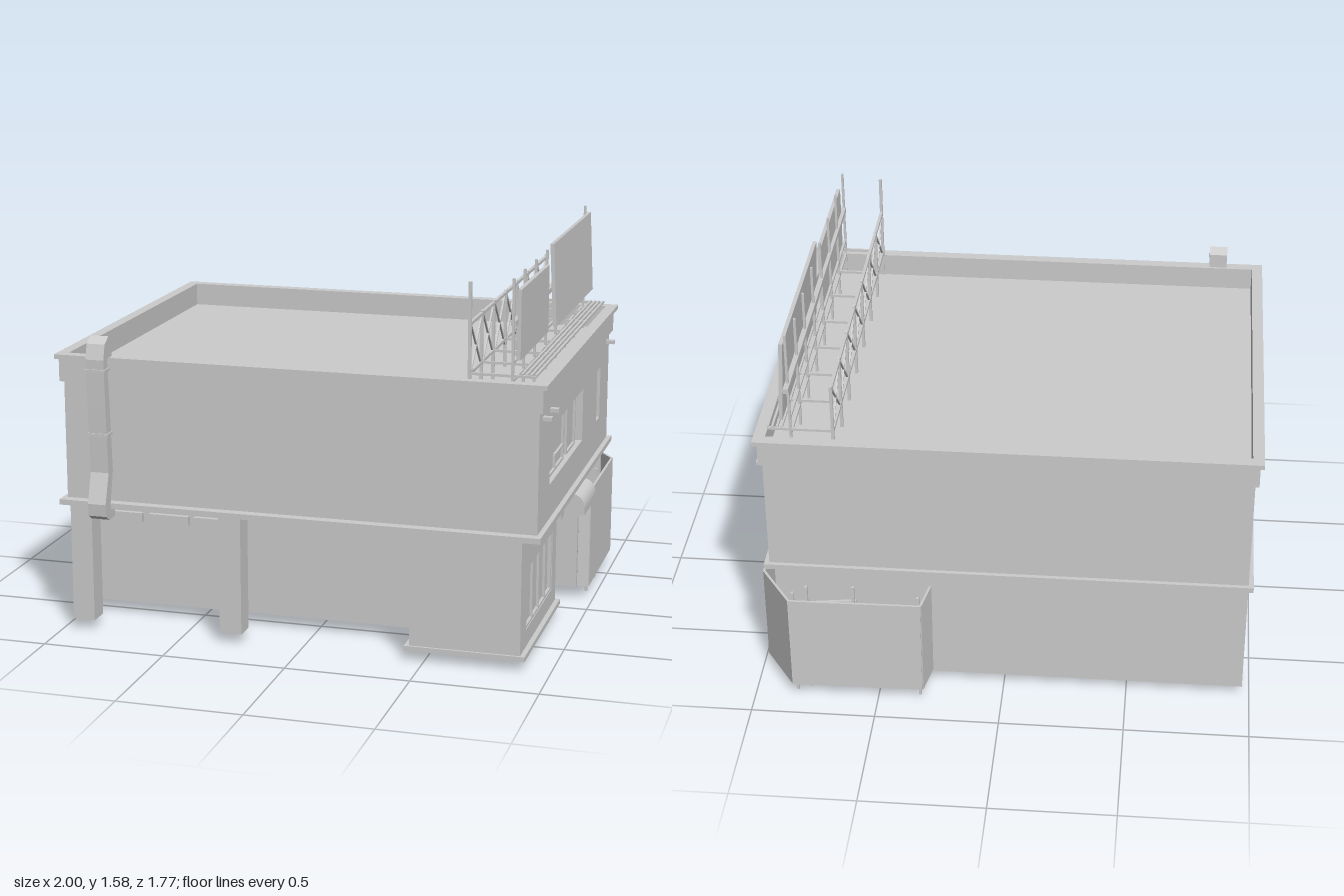
import * as THREE from 'three';

const mat = new THREE.MeshStandardMaterial({ color: 0xcccccc, flatShading: true, side: THREE.DoubleSide });

export function createModel() {
  const root = new THREE.Group();

  const add = (parent, name, geo) => {
    const m = new THREE.Mesh(geo, mat);
    m.name = name;
    parent.add(m);
    return m;
  };
  const group = (name) => {
    const g = new THREE.Group();
    g.name = name;
    root.add(g);
    return g;
  };
  // Box given by its limits on each axis
  const box = (parent, name, x0, x1, y0, y1, z0, z1) => {
    const m = add(parent, name, new THREE.BoxGeometry(x1 - x0, y1 - y0, z1 - z0));
    m.position.set((x0 + x1) / 2, (y0 + y1) / 2, (z0 + z1) / 2);
    return m;
  };
  // Square bar between two points
  const bar = (parent, name, a, b, w = 0.01) => {
    const p = new THREE.Vector3(...a), q = new THREE.Vector3(...b);
    const m = add(parent, name, new THREE.BoxGeometry(w, w, p.distanceTo(q)));
    m.position.copy(p).add(q).multiplyScalar(0.5);
    m.lookAt(q);
  };
  const rect = (C, x0, x1, y0, y1) => new C().setFromPoints(
    [[x0, y0], [x1, y0], [x1, y1], [x0, y1], [x0, y0]].map(p => new THREE.Vector2(...p)));
  // Horizontal ring: outer and inner limits in x and z
  const ring = (parent, name, o, i, y0, y1) => {
    const s = rect(THREE.Shape, o[0], o[1], -o[3], -o[2]);
    s.holes.push(rect(THREE.Path, i[0], i[1], -i[3], -i[2]));
    const g = new THREE.ExtrudeGeometry(s, { depth: y1 - y0, bevelEnabled: false });
    add(parent, name, g.rotateX(-Math.PI / 2).translate(0, y0, 0));
  };
  // Side wall in the zy plane with openings [z0, z1, y0, y1]
  const sideWall = (parent, name, x0, x1, lim, openings) => {
    const s = rect(THREE.Shape, -lim[1], -lim[0], lim[2], lim[3]);
    openings.forEach(o => s.holes.push(rect(THREE.Path, -o[1], -o[0], o[2], o[3])));
    const g = new THREE.ExtrudeGeometry(s, { depth: x1 - x0, bevelEnabled: false });
    add(parent, name, g.rotateY(Math.PI / 2).translate(x0, 0, 0));
  };
  // Frame bars around a window that faces along x
  const sideFrame = (parent, x, z0, z1, y0, y1, panes) => {
    for (let i = 0; i <= panes; i++) {
      const z = z0 + (z1 - z0) * i / panes;
      bar(parent, 'windowMullion', [x, y0, z], [x, y1, z]);
    }
    for (const y of [y0, y1]) bar(parent, 'windowRail', [x, y, z0], [x, y, z1]);
  };

  // Upper storey with recessed windows
  const upper = group('upperStorey');
  box(upper, 'frontWall', -0.97, 0.94, 0.53, 1.04, 0.75, 0.79);
  box(upper, 'backWall', -0.97, 0.94, 0.53, 1.04, -0.74, -0.7);
  box(upper, 'ceiling', -0.95, 0.92, 0.52, 0.54, -0.72, 0.77);
  sideWall(upper, 'rightWall', 0.9, 0.94, [-0.7, 0.75, 0.53, 1.04],
    [[-0.13, 0.57, 0.69, 0.91], [-0.54, -0.46, 0.69, 0.91]]);
  sideWall(upper, 'leftWall', -0.97, -0.93, [-0.7, 0.75, 0.53, 1.04], [[-0.55, 0.1, 0.69, 0.91]]);
  box(upper, 'windowBacking', 0.89, 0.905, 0.68, 0.92, -0.56, 0.58);
  box(upper, 'windowBacking', -0.935, -0.92, 0.68, 0.92, -0.57, 0.12);
  sideFrame(upper, 0.915, 0.18, 0.53, 0.695, 0.905, 1);
  sideFrame(upper, 0.915, 0.18, 0.35, 0.695, 0.75, 1);
  sideFrame(upper, 0.915, -0.07, 0.11, 0.695, 0.905, 1);
  sideFrame(upper, -0.945, -0.53, 0.08, 0.695, 0.905, 6);
  for (const z of [0.72, 0.58, -0.68]) box(upper, 'wallLamp', 0.94, 0.975, 0.985, 1.0, z - 0.013, z + 0.013);

  // Roof, cornice and ledge
  const roof = group('roof');
  box(roof, 'roofDeck', -0.96, 0.93, 1.03, 1.045, -0.73, 0.78);
  ring(roof, 'cornice', [-0.985, 0.955, -0.752, 0.803], [-0.955, 0.925, -0.72, 0.77], 1.03, 1.125);
  ring(roof, 'parapetRim', [-1, 0.972, -0.768, 0.815], [-0.955, 0.925, -0.72, 0.77], 1.122, 1.14);
  ring(roof, 'ledge', [-0.99, 0.96, -0.757, 0.83], [-0.93, 0.9, -0.7, 0.75], 0.53, 0.552);

  // Lower storey: back wall, corner block and pillars
  const lower = group('lowerStorey');
  box(lower, 'backWall', -0.97, 0.92, 0.04, 0.53, -0.74, -0.71);
  box(lower, 'cornerBlock', -0.97, -0.88, 0.04, 0.53, -0.74, -0.63);
  box(lower, 'passageWall', 0.3, 0.93, 0.05, 0.47, -0.16, -0.13);
  for (const [x, z] of [[-0.96, 0.7], [-0.335, 0.7], [-0.96, -0.36]])
    box(lower, 'pillar', x, x + 0.09, 0.04, 0.53, z, z + 0.09);
  box(lower, 'lowSlab', -0.18, 0.35, 0.02, 0.045, -0.55, -0.28);

  // Recessed shop with rear windows and a rear shutter
  const shop = group('shop');
  box(shop, 'frontWall', -0.955, 0.46, 0.05, 0.53, 0.53, 0.555);
  box(shop, 'leftWall', -0.955, -0.93, 0.05, 0.53, 0.08, 0.53);
  box(shop, 'rearWall', -0.93, 0.46, 0.05, 0.53, 0.08, 0.11);
  for (const y of [0.06, 0.36]) bar(shop, 'rearWindowRail', [-0.83, y, 0.075], [-0.12, y, 0.075], 0.015);
  for (let i = 0; i <= 4; i++) {
    const x = -0.83 + i * 0.1775;
    bar(shop, 'rearWindowMullion', [x, 0.06, 0.075], [x, 0.36, 0.075], 0.015);
  }
  for (let y = 0.1; y < 0.5; y += 0.04) bar(shop, 'shutterSlat', [-0.92, y, 0.078], [-0.5, y, 0.078], 0.008);
  for (const [a, b] of [[-0.87, -0.74], [-0.71, -0.54], [-0.52, -0.345]])
    box(shop, 'signPanel', a, b, 0.4, 0.44, 0.555, 0.575);

  // Corner room with a window on its right side
  const room = group('cornerRoom');
  box(room, 'frontWall', 0.44, 0.88, 0.05, 0.53, 0.75, 0.78);
  box(room, 'leftWall', 0.44, 0.47, 0.05, 0.53, 0.08, 0.75);
  box(room, 'rearWall', 0.47, 0.88, 0.05, 0.53, 0.08, 0.11);
  sideWall(room, 'rightWall', 0.85, 0.88, [0.11, 0.75, 0.05, 0.53], [[0.16, 0.67, 0.13, 0.38]]);
  box(room, 'windowPane', 0.85, 0.86, 0.13, 0.38, 0.16, 0.67);
  sideFrame(room, 0.872, 0.165, 0.665, 0.135, 0.375, 4);
  box(room, 'floorSlab', 0.42, 0.9, 0.04, 0.06, 0.07, 0.79);
  box(room, 'wallUnit', 0.88, 0.92, 0.44, 0.47, 0.14, 0.2);
  bar(room, 'drainPipe', [0.4, 0, 0.14], [0.4, 0.5, 0.14]);

  // Rounded canopy over the side entrance
  const hood = new THREE.Shape();
  hood.moveTo(0.86, 0.44).lineTo(1.0, 0.44).lineTo(1.0, 0.47);
  hood.quadraticCurveTo(0.995, 0.525, 0.94, 0.528).lineTo(0.86, 0.528).closePath();
  add(root, 'entranceCanopy', new THREE.ExtrudeGeometry(hood, { depth: 0.25, bevelEnabled: false, curveSegments: 8 })
    .translate(0, 0, -0.14));

  // Yard fence wrapped round the back corner
  const fence = group('yardFence');
  const path = [[0.93, -0.15], [0.975, -0.16], [0.975, -0.69], [0.845, -0.88], [0.32, -0.873], [0.295, -0.74]];
  for (let i = 0; i < path.length - 1; i++) {
    const [ax, az] = path[i], [bx, bz] = path[i + 1];
    const m = add(fence, 'fencePanel', new THREE.BoxGeometry(Math.hypot(bx - ax, bz - az), 0.42, 0.01));
    m.position.set((ax + bx) / 2, 0.26, (az + bz) / 2);
    m.rotation.y = -Math.atan2(bz - az, bx - ax);
  }
  for (const [x, z] of [[0.96, -0.2], [0.96, -0.39], [0.83, -0.865], [0.33, -0.86]])
    bar(fence, 'fencePost', [x, 0.015, z], [x, 0.5, z], 0.012);
  for (const [x, z] of [[0.59, -0.85], [0.775, -0.86]]) bar(fence, 'tallPost', [x, 0.03, z], [x, 0.53, z], 0.012);
  bar(fence, 'fenceRail', [0.58, 0.45, -0.835], [0.78, 0.45, -0.865], 0.012);

  // Duct climbing the front wall and bending over the parapet
  const duct = new THREE.Shape([[0.78, 1.14], [0.78, 1.2], [0.81, 1.225], [0.85, 1.2], [0.868, 1.14], [0.86, 0.95],
    [0.845, 0.68], [0.885, 0.56], [0.88, 0.51], [0.85, 0.49], [0.79, 0.49], [0.79, 0.53], [0.835, 0.54], [0.8, 0.68],
    [0.815, 0.95], [0.83, 1.14]].map(([z, y]) => new THREE.Vector2(-z, y)));
  const ductGroup = group('duct');
  add(ductGroup, 'ductBody', new THREE.ExtrudeGeometry(duct, { depth: 0.075, bevelEnabled: false })
    .rotateY(Math.PI / 2).translate(-0.845, 0, 0));
  for (const [y, z] of [[0.83, 0.831], [1.09, 0.845]])
    box(ductGroup, 'ductCollar', -0.85, -0.765, y, y + 0.012, z - 0.027, z + 0.027);

  // Billboards on a trussed steel frame
  const sign = group('billboards');
  box(sign, 'smallBoard', 0.835, 0.85, 1.21, 1.48, 0.19, 0.725);
  const big = box(sign, 'largeBoard', 0.845, 0.86, 1.215, 1.55, -0.71, 0.115);
  big.rotation.z = 0.05;
  for (const z of [0.77, 0.57, 0.36, 0.14, -0.07, -0.28, -0.48, -0.69]) {
    bar(sign, 'boardPost', [0.83, 1.04, z], [0.83, z === -0.69 ? 1.58 : 1.53, z], 0.01);
    bar(sign, 'rearPost', [0.665, 1.04, z], [0.665, z === 0.77 ? 1.51 : 1.36, z], 0.012);
    bar(sign, 'crossBar', [0.665, 1.16, z], [0.92, 1.16, z], 0.01);
  }
  for (const y of [1.14, 1.21, 1.36])
    bar(sign, 'longRail', [0.83, y, 0.77], [0.83, y, y > 1.3 ? -0.74 : -0.69], y > 1.3 ? 0.02 : 0.01);
  for (const y of [1.16, 1.35]) bar(sign, 'rearRail', [0.665, y, 0.77], [0.665, y, -0.69], 0.012);
  for (let i = 0; i < 7; i++) {
    const z0 = 0.77 - i * 0.2086, z1 = z0 - 0.2086;
    bar(sign, 'brace', [0.665, 1.14, z0], [0.665, 1.36, z1], 0.007);
    bar(sign, 'brace', [0.665, 1.36, z0], [0.665, 1.14, z1], 0.007);
  }
  for (let i = 0; i < 4; i++)
    bar(sign, 'walkwaySlat', [0.865 + i * 0.018, 1.165, 0.77], [0.865 + i * 0.018, 1.165, -0.69], 0.009);

  return root;
}
